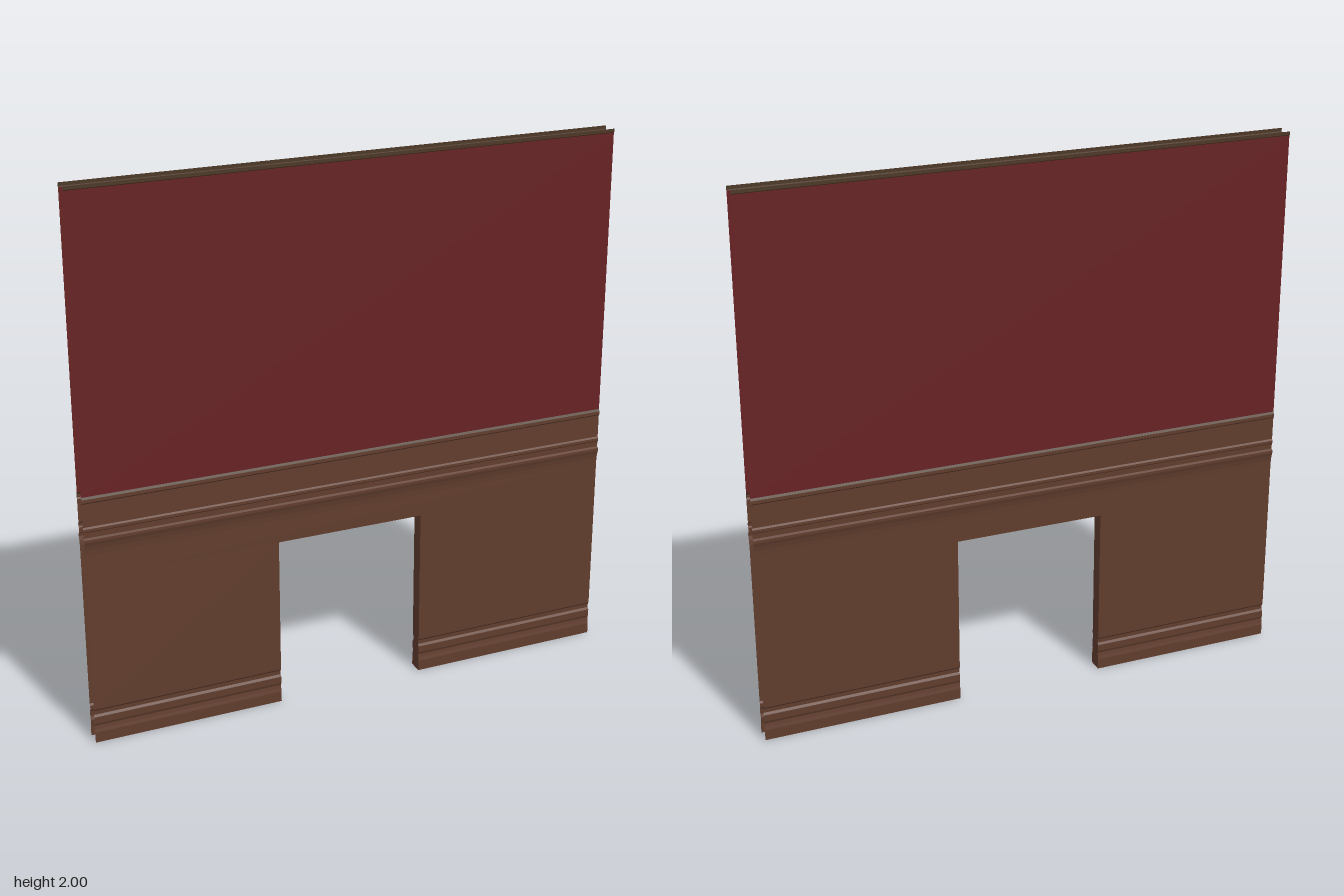
import * as THREE from 'three';

const mat = (name, color) => {
  const m = new THREE.MeshStandardMaterial({ color, side: THREE.DoubleSide });
  m.name = name;
  return m;
};

const DOOR = { left: -0.295, right: 0.262, top: 0.64 };

// Wall cross-sections as [height, distance from the middle of the wall]
const LOWER = [[0, 0.027], [0.04, 0.027], [0.052, 0.024], [0.065, 0.022], [0.075, 0.026],
  [0.1, 0.026], [0.108, 0.02], [0.123, 0.02], [0.13, 0.025], [DOOR.top, 0.025]];
const RAIL = [[DOOR.top, 0.025], [0.725, 0.025], [0.745, 0.026], [0.762, 0.029], [0.775, 0.033],
  [0.785, 0.033], [0.79, 0.026], [0.81, 0.026], [0.814, 0.03], [0.824, 0.03], [0.83, 0.026],
  [0.915, 0.026], [0.92, 0.03], [0.932, 0.03]];
const RAIL_CAP = [[0.932, 0.03], [0.94, 0.025]];
const PAPER = [[0.94, 0.025], [1.985, 0.025]];
const TOP_TRIM = [[1.985, 0.025], [1.988, 0.029], [2, 0.029]];

// Mesh from separate flat quads, corners counter-clockwise
function quadMesh(name, material, quads) {
  const pos = [];
  for (const [a, b, c, d] of quads) pos.push(...a, ...b, ...c, ...a, ...c, ...d);
  const g = new THREE.BufferGeometry();
  g.setAttribute('position', new THREE.Float32BufferAttribute(pos, 3));
  g.computeVertexNormals();
  const mesh = new THREE.Mesh(g, material);
  mesh.name = name;
  return mesh;
}

// Sweep a cross-section along x on the front (side 1) or back (side -1)
function strip(name, material, profile, x0, x1, side) {
  const [l, r] = side > 0 ? [x0, x1] : [x1, x0];
  const quads = profile.slice(1).map(([y1, z1], i) => {
    const [y0, z0] = profile[i];
    return [[l, y0, z0 * side], [r, y0, z0 * side], [r, y1, z1 * side], [l, y1, z1 * side]];
  });
  return quadMesh(name, material, quads);
}

export function createModel() {
  const group = new THREE.Group();
  group.name = 'wallWithDoorway';
  const wood = mat('brown wood', 0x613d2e);
  const red = mat('dark red wallpaper', 0x672324);
  const trim = mat('dark olive trim', 0x4c3826);

  // Two open wall faces
  for (const side of [1, -1]) {
    const face = new THREE.Group();
    face.name = side > 0 ? 'frontFace' : 'backFace';
    face.add(
      strip('rightWainscot', wood, LOWER, -1, DOOR.left, side),
      strip('leftWainscot', wood, LOWER, DOOR.right, 1, side),
      strip('chairRail', wood, RAIL, -1, 1, side),
      strip('chairRailCap', trim, RAIL_CAP, -1, 1, side),
      strip('wallpaper', red, PAPER, -1, 1, side),
      strip('topTrim', trim, TOP_TRIM, -1, 1, side));
    group.add(face);
  }

  // Doorway jambs follow the skirting profile
  for (const [name, x, dir] of [['rightJamb', DOOR.left, 1], ['leftJamb', DOOR.right, -1]]) {
    const quads = LOWER.slice(1).map(([y1, z1], i) => {
      const [y0, z0] = LOWER[i];
      return [[x, y0, z0 * dir], [x, y0, -z0 * dir], [x, y1, -z1 * dir], [x, y1, z1 * dir]];
    });
    group.add(quadMesh(name, wood, quads));
  }

  // Underside of the doorway opening
  const { left: l, right: r, top: t } = DOOR;
  group.add(quadMesh('lintel', wood,
    [[[l, t, -0.025], [r, t, -0.025], [r, t, 0.025], [l, t, 0.025]]]));
  return group;
}
